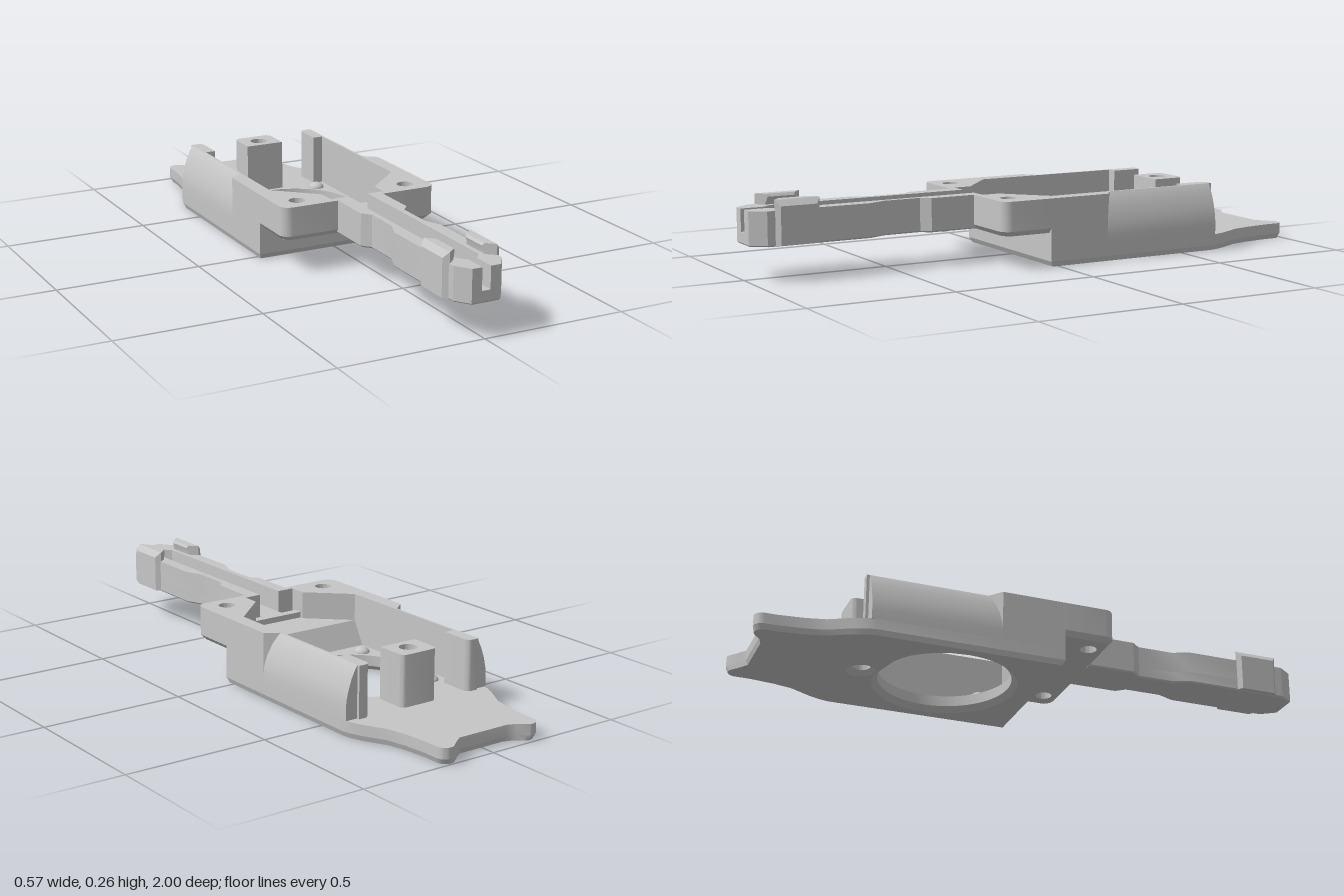
import * as THREE from 'three';
import { toCreasedNormals } from 'three/addons/utils/BufferGeometryUtils.js';

const mirror = pts => pts.map(([x, z]) => [-x, z]);
// closes a right-hand half outline with its mirror image
const both = half => [...half, ...mirror(half).reverse()];
const arc = (cx, cz, r, a0, a1, n = 6) => Array.from({ length: n + 1 }, (_, i) => {
  const a = a0 + (a1 - a0) * i / n;
  return [cx + r * Math.cos(a), cz + r * Math.sin(a)];
});

// moves every vertex by a rule (x, y, z) -> [x, y, z]
function reshape(g, rule) {
  const p = g.attributes.position;
  for (let i = 0; i < p.count; i++) p.setXYZ(i, ...rule(p.getX(i), p.getY(i), p.getZ(i)));
  return g;
}

// vertical slab from an (x, z) outline, holes as [x, z, r]; taper moves the bottom rim
function slab(pts, y0, y1, holes = [], taper = (x, z) => [x, z]) {
  const shape = new THREE.Shape(pts.map(([x, z]) => new THREE.Vector2(x, -z)));
  for (const [x, z, r] of holes) {
    const hole = new THREE.Path();
    hole.absarc(x, -z, r, 0, Math.PI * 2, false);
    shape.holes.push(hole);
  }
  const g = new THREE.ExtrudeGeometry(shape, { depth: y1 - y0, bevelEnabled: false, curveSegments: 28 });
  g.rotateX(-Math.PI / 2).translate(0, y0, 0);
  reshape(g, (x, y, z) => {
    const [tx, tz] = y < y0 + 1e-4 ? taper(x, z) : [x, z];
    return [tx, y, tz];
  });
  return toCreasedNormals(g, 0.5);
}

// (x, y) section swept along z; inset(x) pulls both ends inward
function sweep(pts, z0, z1, inset = () => 0) {
  const shape = new THREE.Shape(pts.map(([x, y]) => new THREE.Vector2(x, y)));
  const g = new THREE.ExtrudeGeometry(shape, { depth: z1 - z0, bevelEnabled: false });
  g.translate(0, 0, z0);
  const mid = (z0 + z1) / 2;
  reshape(g, (x, y, z) => [x, y, z + (z < mid ? 1 : -1) * inset(x)]);
  return toCreasedNormals(g, 0.4);
}

export function createModel() {
  const group = new THREE.Group();
  const grey = new THREE.MeshStandardMaterial({ color: 0xc6c6c6 });
  grey.name = 'grey plastic';
  const add = (name, geometry) => {
    const mesh = new THREE.Mesh(geometry, grey);
    mesh.name = name;
    group.add(mesh);
    return mesh;
  };
  const pair = (name, make, pts) => {
    add(name + 'Left', make(pts, 1));
    add(name + 'Right', make(mirror(pts), -1));
  };

  // base plate with a large round opening and a tail with two uneven tips
  const base = both([
    [0.095, -0.951], [0.125, -0.972], ...arc(0.17, -0.97, 0.03, -Math.PI * 0.72, 0, 8),
    [0.2, -0.92], [0.21, -0.83], [0.225, -0.765], [0.265, -0.69], [0.28, -0.65], [0.287, -0.62], [0.287, 0.03],
  ]).map(([x, z]) => [x, x < 0 && z < -0.96 ? z + 0.01 : z]);
  const bore = [0, -0.293, 0.226], screw = [0, -0.583, 0.03];
  add('basePlate', slab(base, 0.018, 0.055, [bore, screw]));
  add('baseChamfer', slab(base, 0, 0.018, [bore, screw], (x, z) => {
    for (const [hx, hz, r] of [bore, screw]) {
      const d = Math.hypot(x - hx, z - hz);
      if (d < r + 0.002) return [hx + (x - hx) * (r + 0.02) / d, hz + (z - hz) * (r + 0.02) / d];
    }
    return [x - Math.sign(x) * 0.007, z > 0 ? z - 0.01 : z < -0.9 ? z + 0.006 : z];
  }));

  // sloped block across the front of the pocket
  const ramp = sweep([[0.045, 0.055], [0, 0.135], [-0.03, 0.135], [-0.03, 0.055]], -0.287, 0.287);
  add('pocketRamp', ramp.rotateY(Math.PI / 2));

  // side walls: straight in front, curving inward at the rear
  pair('frontWall', p => slab(p, 0.055, 0.23),
    [[0.235, 0], [0.287, 0], [0.287, -0.19], [0.243, -0.225], [0.235, -0.225]]);
  pair('rearWall', p => sweep(p, -0.635, -0.19),
    [[0.235, 0.055], [0.287, 0.055], [0.287, 0.09], [0.285, 0.12], [0.277, 0.155], [0.265, 0.19],
      [0.252, 0.217], [0.243, 0.23], [0.235, 0.23]]);
  pair('wallEnd', p => slab(p, 0.055, 0.23),
    [[0.243, -0.53], [0.2, -0.53], ...arc(0.22, -0.625, 0.02, Math.PI, Math.PI * 1.5), [0.243, -0.645]]);

  // screw post at the rear
  add('screwPost', slab(both([[0.07, -0.53],
    ...arc(0.05, -0.625, 0.02, 0, -Math.PI / 2)]), 0.055, 0.23, [screw]));

  // locating studs around the opening
  for (const x of [-0.185, 0.185]) for (const z of [-0.478, -0.107]) {
    const stud = add('stud', new THREE.SphereGeometry(0.027, 20, 8, 0, Math.PI * 2, 0, Math.PI / 2));
    stud.scale.y = 0.7;
    stud.position.set(x, 0.055, z);
  }

  // front ledge: chamfered underside, floor and two raised corners
  const corner = arc(0.252, 0.177, 0.035, 0, Math.PI / 2);
  const ledge = both([[0.287, 0], ...corner]);
  const ledgeHoles = [[-0.205, 0.147, 0.028], [0.205, 0.147, 0.028]];
  add('ledgeChamfer', slab(ledge, 0.113, 0.13, ledgeHoles, (x, z) =>
    [Math.abs(x) > 0.235 ? x - Math.sign(x) * 0.015 : x, z > 0.18 ? z - 0.015 : z]));
  add('ledgeFloor', slab(ledge, 0.13, 0.135, ledgeHoles));
  pair('ledgeCorner', (p, s) => slab(p, 0.135, 0.23, [[s * 0.205, 0.147, 0.028]]),
    [[0.235, 0], [0.287, 0], ...corner, [0.04, 0.212], [0.04, 0.187], [0.1, 0.187], [0.1, 0.125]]);

  // raised step where the channel begins
  add('channelStep', slab(both([[0.1, 0.138], [0.1, 0.17], [0.04, 0.17], [0.04, 0.212]]), 0.135, 0.155));

  // channelled arm with a waist and a tapered nose
  const armSide = [[0.085, 0.2], [0.085, 0.37], [0.06, 0.4], [0.06, 0.53], [0.085, 0.59], [0.085, 0.95], [0.05, 1]];
  add('armFloor', slab(both(armSide), 0.12, 0.155));
  add('armChamfer', slab(both(armSide), 0.115, 0.12, [], (x, z) =>
    [x - Math.sign(x) * 0.005, z > 0.94 ? z - 0.005 : z]));
  pair('armRail', p => slab(p, 0.155, 0.23),
    [...armSide, [0.015, 1], [0.015, 0.92], [0.04, 0.89], [0.04, 0.2]]);

  // hooked clips near the nose, with ends pointed in plan
  const point = x => Math.abs(Math.abs(x) - 0.083) * 0.9;
  pair('clipOuter', p => sweep(p, 0.77, 0.925, point),
    [[0.083, 0.118], [0.1, 0.118], [0.1, 0.245], [0.083, 0.265]]);
  pair('clipHook', p => sweep(p, 0.77, 0.925, point),
    [[0.083, 0.2], [0.083, 0.265], [0.054, 0.265], [0.048, 0.256], [0.056, 0.229], [0.056, 0.2]]);

  return group;
}
